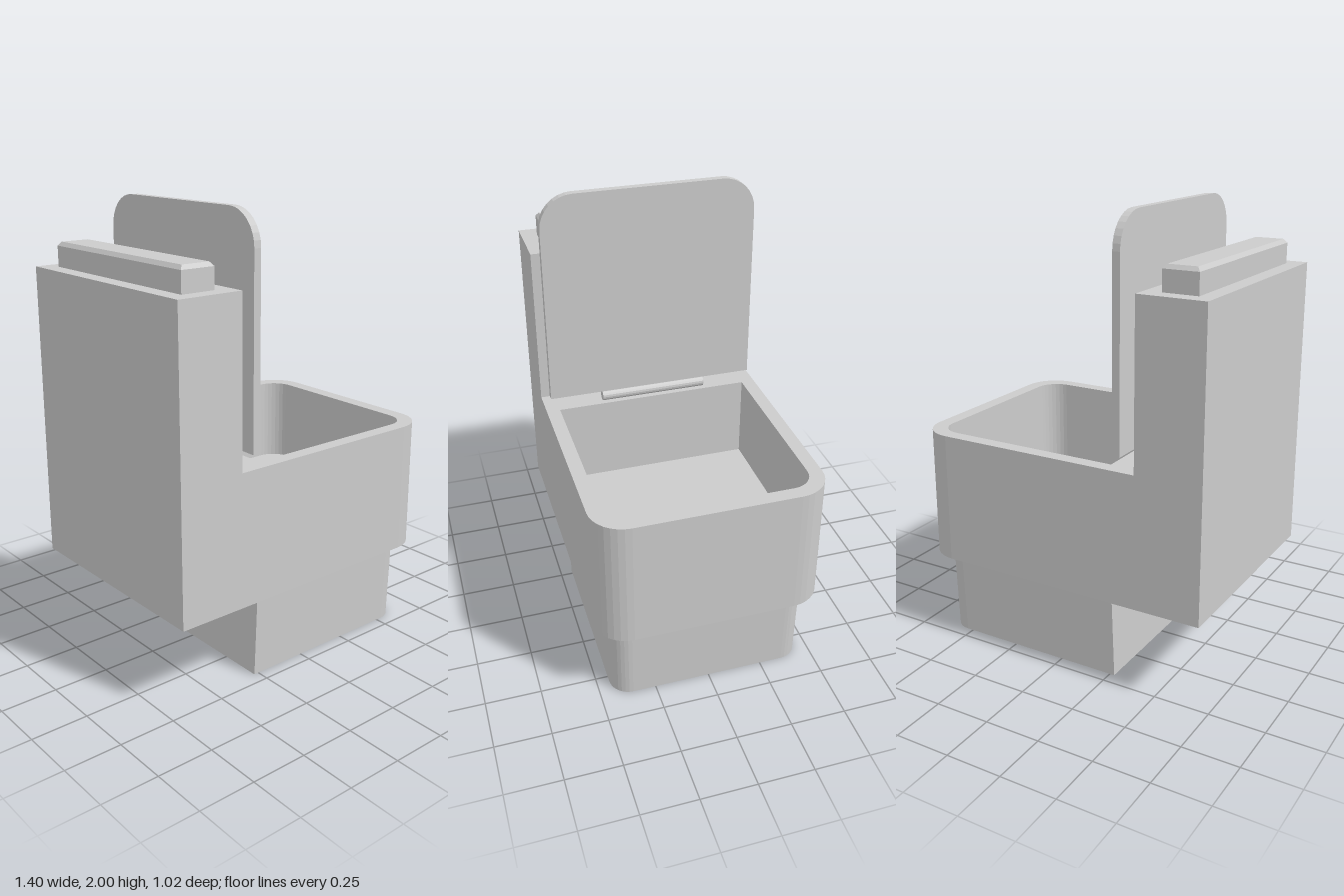
import * as THREE from 'three';

const material = new THREE.MeshStandardMaterial({ color: 0xcccccc, flatShading: true });

// Rectangle from (x0, -h) to (x1, h) with its two +x corners rounded
function roundedEnd(x0, x1, h, r, PathType = THREE.Shape) {
  const p = new PathType();
  p.moveTo(x0, -h);
  p.lineTo(x1 - r, -h);
  p.absarc(x1 - r, -h + r, r, -Math.PI / 2, 0, false);
  p.lineTo(x1, h - r);
  p.absarc(x1 - r, h - r, r, 0, Math.PI / 2, false);
  p.lineTo(x0, h);
  p.closePath();
  return p;
}

// Extrude a floor plan upwards from y0 to y1
function extrudeUp(shape, y0, y1) {
  const g = new THREE.ExtrudeGeometry(shape, { depth: y1 - y0, bevelEnabled: false, curveSegments: 4 });
  return g.rotateX(-Math.PI / 2).translate(0, y0, 0);
}

function boxBetween(x0, x1, y0, y1, halfZ) {
  return new THREE.BoxGeometry(x1 - x0, y1 - y0, halfZ * 2).translate((x0 + x1) / 2, (y0 + y1) / 2, 0);
}

// Move every vertex by a rule
function reshape(geometry, rule) {
  const pos = geometry.attributes.position;
  const v = new THREE.Vector3();
  for (let i = 0; i < pos.count; i++) {
    rule(v.fromBufferAttribute(pos, i));
    pos.setXYZ(i, v.x, v.y, v.z);
  }
  geometry.computeVertexNormals();
  return geometry;
}

export function createModel() {
  const model = new THREE.Group();
  model.name = 'toilet';
  const add = (name, geometry) => {
    const mesh = new THREE.Mesh(geometry, material);
    mesh.name = name;
    model.add(mesh);
  };

  // Bowl walls around a straight-sided cavity, and the floor that closes it
  const bowl = roundedEnd(-0.7, 0.7, 0.512, 0.15);
  bowl.holes.push(roundedEnd(-0.26, 0.635, 0.45, 0.1, THREE.Path));
  add('bowl', extrudeUp(bowl, 0.388, 0.98));
  add('bowlFloor', extrudeUp(roundedEnd(-0.26, 0.635, 0.45, 0.1), 0.388, 0.59));

  // Pedestal, leaning slightly back towards its foot
  const pedestal = extrudeUp(roundedEnd(-0.26, 0.632, 0.447, 0.09), 0, 0.388);
  add('pedestal', reshape(pedestal, (v) => {
    const t = 1 - v.y / 0.388;
    v.x -= 0.012 * t;
    v.z *= 1 - 0.008 * t;
  }));

  // Tank and its narrow cap with a chamfered top
  add('tank', boxBetween(-0.7, -0.4, 0.98, 1.705, 0.512));
  add('tankCap', boxBetween(-0.63, -0.475, 1.705, 1.795, 0.44));
  add('tankCapChamfer', reshape(boxBetween(-0.63, -0.475, 1.795, 1.812, 0.44), (v) => {
    if (v.y > 1.8) {
      v.x += v.x < -0.55 ? 0.014 : -0.014;
      v.z -= Math.sign(v.z) * 0.014;
    }
  }));

  // Raised lid with rounded top corners
  const lid = extrudeUp(roundedEnd(1.03, 2, 0.484, 0.15), 0, 0.034);
  lid.rotateZ(Math.PI / 2).translate(-0.285, 0, 0);
  add('lid', lid);

  // Hinge rod under the lid
  const hinge = new THREE.CylinderGeometry(0.025, 0.025, 0.495, 16).rotateX(Math.PI / 2);
  add('hinge', hinge.translate(-0.293, 1.006, -0.008));

  return model;
}
